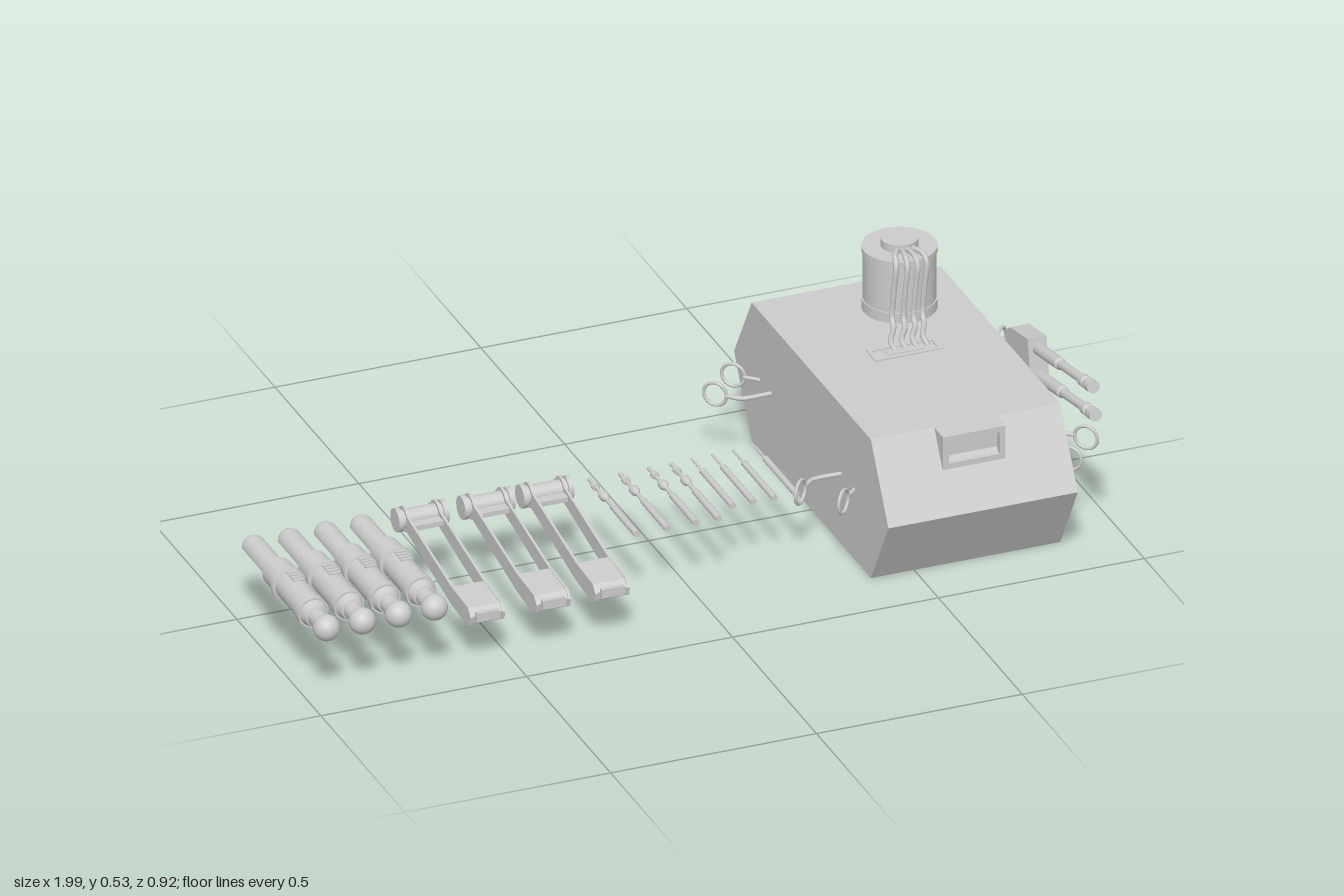
import * as THREE from 'three';

const grey = new THREE.MeshStandardMaterial({ color: 0xcccccc, side: THREE.DoubleSide });
const V = (x, y, z) => new THREE.Vector3(x, y, z);

function add(parent, name, geo, x = 0, y = 0, z = 0) {
  const m = new THREE.Mesh(geo, grey);
  m.name = name;
  m.position.set(x, y, z);
  parent.add(m);
  return m;
}

function group(parent, name, x = 0, y = 0, z = 0) {
  const g = new THREE.Group();
  g.name = name;
  g.position.set(x, y, z);
  parent.add(g);
  return g;
}

// Prism along x from a [z, y] side profile, centred on x = 0
function sideExtrude(points, width) {
  const s = new THREE.Shape(points.map(([z, y]) => new THREE.Vector2(-z, y)));
  return new THREE.ExtrudeGeometry(s, { depth: width, bevelEnabled: false, curveSegments: 12 })
    .translate(0, 0, -width / 2).rotateY(Math.PI / 2);
}

// Rectangular frame in the xy plane
function frame(w, h, rim, depth) {
  const rect = (C, a, b) => new C([[-a, -b], [a, -b], [a, b], [-a, b]].map(p => new THREE.Vector2(...p)));
  const s = rect(THREE.Shape, w / 2, h / 2);
  s.holes.push(rect(THREE.Path, w / 2 - rim, h / 2 - rim));
  return new THREE.ExtrudeGeometry(s, { depth, bevelEnabled: false });
}

// Stepped solid turned about z, from [z, radius] points with a hard edge at each point
function turned(parent, name, pts, segs = 20) {
  const g = group(parent, name);
  for (let i = 0; i < pts.length - 1; i++) {
    const [z0, r0] = pts[i], [z1, r1] = pts[i + 1];
    if (z1 === z0) continue;
    add(g, name + 'Section', new THREE.CylinderGeometry(r1, r0, z1 - z0, segs).rotateX(Math.PI / 2), 0, 0, (z0 + z1) / 2);
  }
  return g;
}

const tube = (pts, r, segs = 24) =>
  new THREE.TubeGeometry(new THREE.CatmullRomCurve3(pts, false, 'centripetal'), segs, r, 8);

function buildHull(root) {
  const hull = group(root, 'hull', 0.625);
  add(hull, 'hullBody', sideExtrude([[-0.46, 0.18], [-0.355, 0.355], [0.355, 0.355],
    [0.46, 0.18], [0.355, 0.002], [-0.355, 0.002]], 0.46));
  // Driver's window on the front slope
  add(hull, 'windowFrame', frame(0.152, 0.083, 0.014, 0.054), 0, 0.3135, 0.354);
  add(hull, 'windowPane', new THREE.BoxGeometry(0.126, 0.056, 0.01), 0, 0.3135, 0.385);
  // Cable port on the roof
  add(hull, 'portFrame', frame(0.165, 0.056, 0.01, 0.004).rotateX(-Math.PI / 2), 0.003, 0.354, -0.014);
  add(hull, 'portPlate', new THREE.BoxGeometry(0.09, 0.004, 0.022), 0.003, 0.355, -0.014);
}

function buildTurret(root) {
  const t = group(root, 'turret', 0.697, 0, -0.215);
  const drum = (name, r, y0, y1) => add(t, name, new THREE.CylinderGeometry(r, r, y1 - y0, 40), 0, (y0 + y1) / 2, 0);
  drum('turretFoot', 0.086, 0.35, 0.38);
  drum('turretDrum', 0.083, 0.375, 0.5);
  drum('turretRim', 0.086, 0.498, 0.511);
  drum('turretCap', 0.043, 0.51, 0.531);
  // Cables from the cap, down the drum and into the roof port
  for (let i = 0; i < 4; i++) {
    const a = -0.042 + i * 0.024, b = -0.09 + i * 0.026;
    const front = Math.sqrt(0.0875 ** 2 - a * a);
    add(t, 'cable', tube([V(a * 0.5, 0.518, 0.035), V(a * 0.9, 0.519, front - 0.01), V(a, 0.505, front + 0.006),
      V(a - 0.005, 0.44, front + 0.005), V(a - 0.01, 0.375, front + 0.007), V(a - 0.014, 0.362, front + 0.025),
      V(b, 0.363, 0.17), V(b, 0.354, 0.2)], 0.0065, 40));
  }
}

function buildGun(root) {
  const g = group(root, 'sideGun', 0.901);
  add(g, 'gunHousing', sideExtrude([[0.105, 0.391], [0, 0.37], [-0.033, 0.347], [-0.012, 0.246], [0.123, 0.276]], 0.046));
  add(g, 'gunSeam', sideExtrude([[0.112, 0.317], [-0.022, 0.288], [-0.022, 0.285], [0.112, 0.314]], 0.049));
  add(g, 'gunMount', new THREE.CylinderGeometry(0.032, 0.026, 0.04, 24).rotateZ(Math.PI / 2), -0.032, 0.283, 0.055);
  // Twin stepped barrels with muzzle sleeves
  for (const [y, z] of [[0.362, 0.1], [0.297, 0.114]]) {
    const b = group(g, 'barrel', 0.002, y, z);
    b.rotation.x = -0.19;
    turned(b, 'barrelTube', [[-0.02, 0.0145], [0.14, 0.0145], [0.145, 0.0105], [0.282, 0.0105]]);
    turned(b, 'muzzle', [[0.278, 0.0145], [0.298, 0.0145], [0.302, 0.011], [0.316, 0.011], [0.32, 0.0155], [0.341, 0.0155]]);
    add(b, 'muzzleRail', new THREE.BoxGeometry(0.018, 0.014, 0.04), 0, -0.005, 0.308);
  }
}

// Two eyelets near each corner of the hull sides
function buildEyelets(root) {
  for (const side of [1, -1]) {
    const g = group(root, side > 0 ? 'leftEyelets' : 'rightEyelets', 0.625, 0.18, 0);
    for (const [dir, zIn, zOut] of [[1, 0.302, 0.222], [-1, 0.355, 0.286]]) {
      const ring = (x, z) => add(g, 'eyeletRing', new THREE.TorusGeometry(0.028, 0.0042, 8, 32)
        .rotateY(-dir * side * Math.PI / 4), side * x, 0, dir * z);
      ring(0.275, zIn);
      ring(0.347, zOut);
      add(g, 'shortStem', tube([V(side * 0.225, 0, dir * (zIn - 0.05)), V(side * 0.257, 0, dir * (zIn - 0.019))], 0.005, 4));
      const z = dir * (zOut - 0.046);
      add(g, 'longStem', tube([V(side * 0.225, 0, z), V(side * 0.29, 0, z), V(side * 0.302, 0, z + dir * 0.003),
        V(side * 0.328, 0, z + dir * 0.027)], 0.0055, 16));
    }
  }
}

// Slim rods with collars, and plain needles
function buildRods(root) {
  for (const x of [-0.139, -0.065, 0.005, 0.06])
    turned(group(root, 'collaredRod', x, 0.18, 0), 'rod', [[-0.012, 0.005], [0.015, 0.005], [0.016, 0.009], [0.03, 0.009],
      [0.031, 0.004], [0.06, 0.005], [0.066, 0.011], [0.08, 0.011], [0.095, 0.005], [0.125, 0.005], [0.127, 0.008], [0.272, 0.008]], 12);
  for (const x of [0.112, 0.162, 0.213, 0.266])
    turned(group(root, 'needle', x, 0.18, 0), 'needle', [[-0.018, 0.003], [0.042, 0.003], [0.045, 0.0075], [0.228, 0.0075]], 12);
}

// Hinged legs ending in a padded foot
function buildLegs(root) {
  for (const x of [-0.56, -0.4, -0.257]) {
    const leg = group(root, 'hingedLeg', x);
    const bar = (name, r, w, px) => add(leg, name, new THREE.CylinderGeometry(r, r, w, 24).rotateZ(Math.PI / 2), px, 0.184, 0.012);
    bar('hingeBar', 0.022, 0.1, 0);
    for (const s of [1, -1]) {
      bar('hingeEnd', 0.028, 0.012, s * 0.055);
      bar('hingeDisc', 0.03, 0.006, s * 0.039);
      add(leg, 'hingeTab', new THREE.BoxGeometry(0.006, 0.018, 0.06), s * 0.039, 0.184, 0.005);
      add(leg, 'legSide', sideExtrude([[0.01, 0.204], [0.01, 0.166], [0.3, 0.108], [0.39, 0.1],
        [0.412, 0.11], [0.416, 0.13], [0.4, 0.148], [0.3, 0.153]], 0.006), s * 0.039, 0, 0);
    }
    add(leg, 'hingeBrace', new THREE.BoxGeometry(0.076, 0.012, 0.025), 0, 0.182, 0.05);
    add(leg, 'footPad', sideExtrude([[0.3, 0.152], [0.3, 0.143], [0.385, 0.135], [0.396, 0.125], [0.385, 0.112],
      [0.37, 0.11], [0.375, 0.1], [0.392, 0.1], [0.408, 0.11], [0.412, 0.13], [0.398, 0.146]], 0.076));
    add(leg, 'footLip', new THREE.BoxGeometry(0.056, 0.022, 0.012), 0, 0.128, 0.414);
  }
}

// Arms: scoop-shaped guard, stepped body, neck and ball end
function buildArms(root) {
  for (const x of [-0.957, -0.87, -0.782, -0.695]) {
    const arm = group(root, 'arm', x, 0.182, 0);
    add(arm, 'guardTrough', new THREE.CylinderGeometry(0.028, 0.028, 0.142, 20, 1, true, -Math.PI / 2, Math.PI)
      .rotateX(-Math.PI / 2), 0, -0.006, 0.069);
    add(arm, 'guardTip', new THREE.SphereGeometry(0.028, 20, 8, Math.PI, Math.PI, 0, Math.PI / 2), 0, -0.006, -0.002)
      .rotation.y = 0;
    // Shallow studs over the guard
    for (let i = 0; i < 10; i++) {
      const a = (i % 3 - 1) * 0.7, r = 0.0275;
      add(arm, 'guardStud', new THREE.SphereGeometry(0.0025, 8, 6), r * Math.sin(a), r * Math.cos(a) - 0.006, i * 0.0125);
    }
    turned(arm, 'armBody', [[0.128, 0.03], [0.135, 0.036], [0.19, 0.036], [0.195, 0.041], [0.205, 0.041], [0.207, 0.034],
      [0.345, 0.034], [0.368, 0.026], [0.37, 0.021], [0.425, 0.021]], 24);
    turned(arm, 'armCollar', [[0.33, 0.037], [0.35, 0.037]], 24);
    add(arm, 'ballEnd', new THREE.SphereGeometry(0.031, 24, 16), 0, 0, 0.427);
    for (let i = 0; i < 5; i++)
      add(arm, 'ventSlat', new THREE.BoxGeometry(0.026, 0.008, 0.007), 0.004, 0.033, 0.2 + i * 0.013);
  }
}

export function createModel() {
  const root = new THREE.Group();
  root.name = 'vehicleKit';
  for (const build of [buildHull, buildTurret, buildGun, buildEyelets, buildRods, buildLegs, buildArms]) build(root);
  return root;
}
